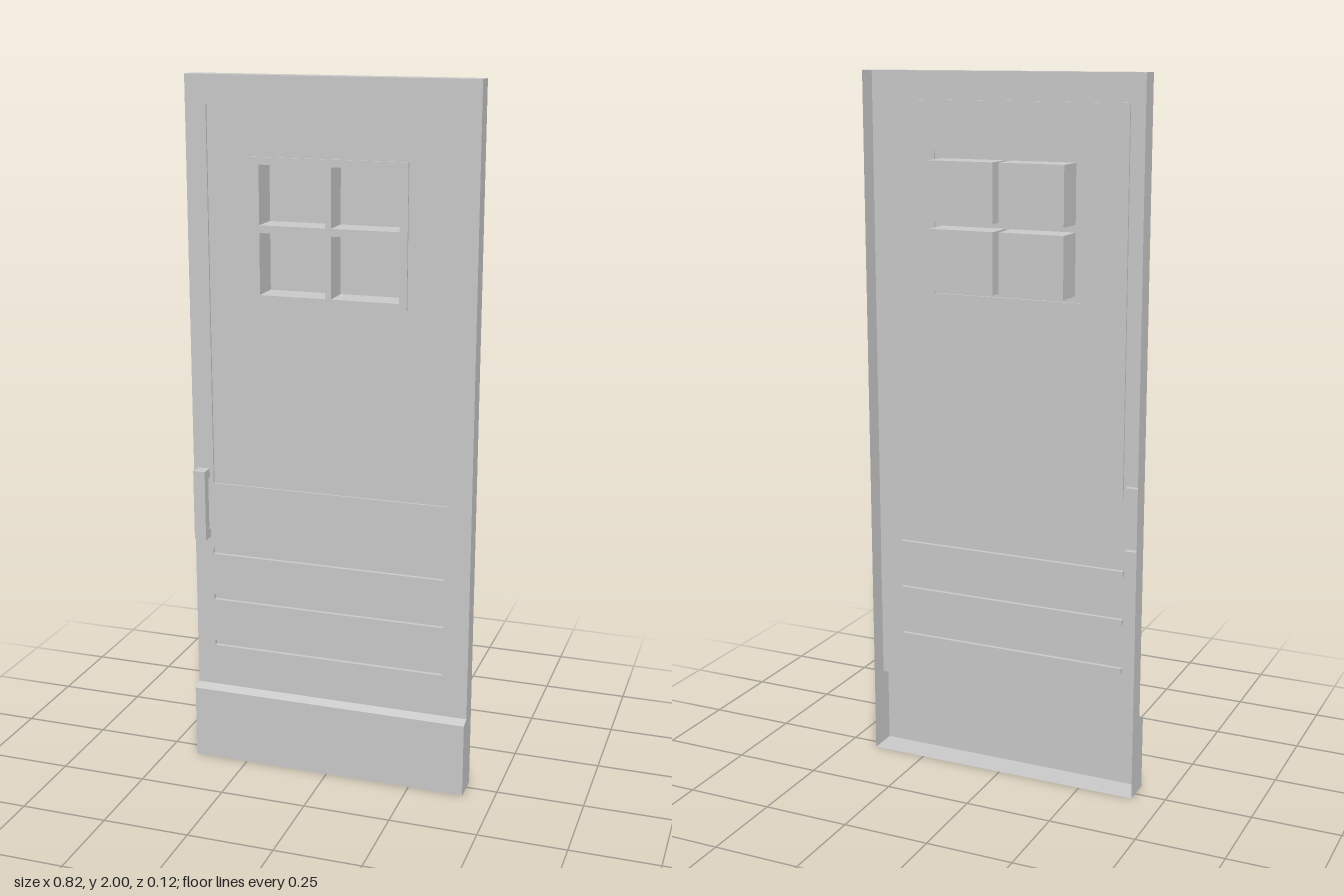
import * as THREE from 'three';
import { mergeGeometries } from 'three/addons/utils/BufferGeometryUtils.js';

const metal = new THREE.MeshStandardMaterial({ color: 0xcccccc, side: THREE.DoubleSide });

const W = 0.41, H = 2, FRONT = 0.022, BACK = -0.032, KICK_Z = 0.052, INSET = 0.016;

// Rectangles are [x0, x1, y0, y1].
function outline([x0, x1, y0, y1], Type = THREE.Shape) {
  return new Type([[x0, y0], [x1, y0], [x1, y1], [x0, y1]].map(p => new THREE.Vector2(...p)));
}

// Flat sheet at depth z with rectangular openings.
function sheet(rect, z, openings = []) {
  const shape = outline(rect);
  shape.holes = openings.map(r => outline(r, THREE.Path));
  return new THREE.ShapeGeometry(shape).translate(0, 0, z);
}

// Four walls around a rectangle, running from depth z0 to z1.
function walls([x0, x1, y0, y1], z0, z1) {
  const w = x1 - x0, h = y1 - y0, d = Math.abs(z1 - z0);
  const cx = (x0 + x1) / 2, cy = (y0 + y1) / 2, cz = (z0 + z1) / 2;
  return mergeGeometries([
    new THREE.PlaneGeometry(d, h).rotateY(-Math.PI / 2).translate(x0, cy, cz),
    new THREE.PlaneGeometry(d, h).rotateY(Math.PI / 2).translate(x1, cy, cz),
    new THREE.PlaneGeometry(w, d).rotateX(Math.PI / 2).translate(cx, y0, cz),
    new THREE.PlaneGeometry(w, d).rotateX(-Math.PI / 2).translate(cx, y1, cz),
  ]);
}

// Pressed pocket: walls plus a floor at zFloor.
const pocket = (rect, zOpen, zFloor) =>
  mergeGeometries([walls(rect, zOpen, zFloor), sheet(rect, zFloor)]);

export function createModel() {
  const door = new THREE.Group();
  door.name = 'door';
  const add = (name, geometry) => {
    const mesh = new THREE.Mesh(geometry, metal);
    mesh.name = name;
    door.add(mesh);
    return mesh;
  };

  const panel = [-0.35, 0.34, 0.853, 1.922];
  const frame = [-0.222, 0.218, 1.392, 1.785];
  const grooves = [0.35, 0.495, 0.637].map(y => [-0.355, 0.336, y, y + 0.016]);
  const panes = [];
  for (const [x0, x1] of [[-0.2, -0.012], [0.005, 0.196]])
    for (const [y0, y1] of [[1.41, 1.581], [1.602, 1.765]]) panes.push([x0, x1, y0, y1]);

  // Front skin with the pressed panel and grooves
  add('frontSkin', sheet([-W, W, 0.226, H], FRONT, [panel, ...grooves]));
  add('upperPanel', mergeGeometries([sheet(panel, INSET, [frame]), walls(panel, INSET, FRONT)]));
  grooves.forEach(g => add('groove', pocket(g, FRONT, 0.011)));

  // Window: raised frame with glazing bars and four deep panes
  add('windowFrame', mergeGeometries([sheet(frame, FRONT, panes), walls(frame, INSET, FRONT)]));
  panes.forEach(p => add('windowPane', pocket(p, FRONT, -0.062)));

  // Returned edges; the side profile steps out around the kick plate
  const profile = [[BACK, 0], [KICK_Z, 0], [KICK_Z, 0.217], [FRONT, 0.226], [FRONT, H], [BACK, H]];
  const side = new THREE.Shape(profile.map(([z, y]) => new THREE.Vector2(-z, y)));
  for (const s of [-1, 1])
    add(s < 0 ? 'rightEdge' : 'leftEdge',
      new THREE.ShapeGeometry(side).rotateY(Math.PI / 2).translate(s * W, 0, 0));
  const depth = FRONT - BACK, bottomDepth = KICK_Z - BACK;
  add('topEdge', new THREE.PlaneGeometry(2 * W, depth).rotateX(-Math.PI / 2)
    .translate(0, H, (FRONT + BACK) / 2));
  add('bottomEdge', new THREE.PlaneGeometry(2 * W, bottomDepth).rotateX(Math.PI / 2)
    .translate(0, 0, (KICK_Z + BACK) / 2));

  // Kick plate with a sloping top
  add('kickPlate', sheet([-W, W, 0, 0.217], KICK_Z));
  const run = KICK_Z - FRONT, rise = 0.009;
  add('kickPlateLedge', new THREE.PlaneGeometry(2 * W, Math.hypot(run, rise))
    .rotateX(-Math.atan2(run, rise)).translate(0, 0.2215, (KICK_Z + FRONT) / 2));

  // Pull handle on two posts that pass through the skin
  const handle = new THREE.Group();
  handle.name = 'handle';
  const box = (name, w, h, z0, z1, y) => {
    const mesh = new THREE.Mesh(new THREE.BoxGeometry(w, h, z1 - z0), metal);
    mesh.name = name;
    mesh.position.set(-0.379, y, (z0 + z1) / 2);
    handle.add(mesh);
  };
  box('handleBar', 0.035, 0.206, 0.034, 0.06, 0.793);
  for (const y of [0.703, 0.883]) box('handlePost', 0.035, 0.026, 0.006, 0.034, y);
  door.add(handle);

  return door;
}
